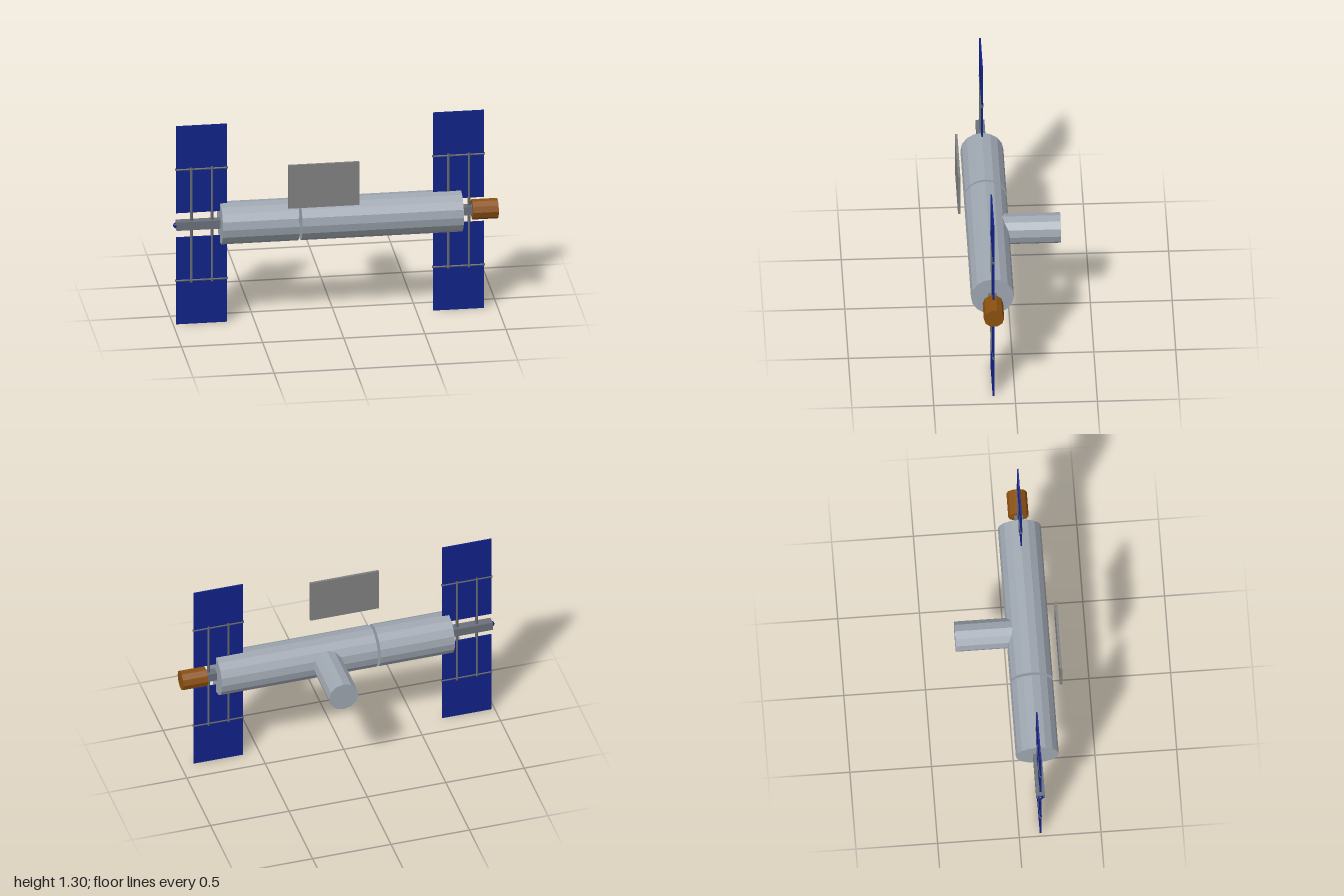
import * as THREE from 'three';

const AXIS_Y = 0.652, AXIS_Z = 0.1315;

const paint = (color) => new THREE.MeshStandardMaterial({ color, flatShading: true });

export function createModel() {
  const group = new THREE.Group();
  const hullMat = paint(0x9ea6b0), trussMat = paint(0x6a707a), barMat = paint(0x666a70);
  const panelMat = paint(0x112288), plateMat = paint(0x808080), capMat = paint(0x8b5010);

  const add = (name, geometry, material, x, y, z, parent = group) => {
    const mesh = new THREE.Mesh(geometry, material);
    mesh.name = name;
    mesh.position.set(x, y, z);
    parent.add(mesh);
    return mesh;
  };
  // Cylinder lying along x, with a corner on the z axis
  const alongX = (name, x0, x1, r, sides, material, y = AXIS_Y, parent = group) =>
    add(name, new THREE.CylinderGeometry(r, r, x1 - x0, sides).rotateZ(Math.PI / 2),
      material, (x0 + x1) / 2, y, AXIS_Z, parent);

  // Pressurised hull in two sections
  alongX('mainModule', -0.22, 0.775, 0.1315, 16, hullMat);
  alongX('rearModule', -0.71, -0.237, 0.1315, 16, hullMat);

  // Square truss through the hull, with end cap and small tip
  add('truss', new THREE.BoxGeometry(1.83, 0.054, 0.054), trussMat, -0.067, AXIS_Y, AXIS_Z);
  alongX('dockingCap', 0.842, 1, 0.0625, 10, capMat);
  add('tip', new THREE.SphereGeometry(0.017, 10, 8), panelMat, -0.983, AXIS_Y, AXIS_Z);

  // Module branching off to the back
  add('sideModule', new THREE.CylinderGeometry(0.094, 0.094, 0.4445, 12).rotateX(Math.PI / 2),
    hullMat, 0.094, 0.653, -0.091);

  // Free-standing radiator plate
  add('radiator', new THREE.BoxGeometry(0.438, 0.284, 0.015), plateMat, -0.096, 0.938, 0.306);

  // Solar wings: an upper and lower panel held by a frame of thin bars
  for (const [side, x] of [['right', -0.824], ['left', 0.76]]) {
    const wing = new THREE.Group();
    wing.name = side + 'SolarWing';
    group.add(wing);
    for (const s of [-1, 1]) {
      add('solarPanel', new THREE.BoxGeometry(0.314, 0.571, 0.01), panelMat,
        x, AXIS_Y + s * 0.366, AXIS_Z, wing);
      alongX('crossBar', x - 0.162, x + 0.162, 0.008, 8, barMat, AXIS_Y + s * 0.365, wing);
      add('mast', new THREE.CylinderGeometry(0.0095, 0.0095, 0.757, 8), barMat,
        x + s * 0.0635, AXIS_Y, AXIS_Z, wing);
    }
  }
  return group;
}
